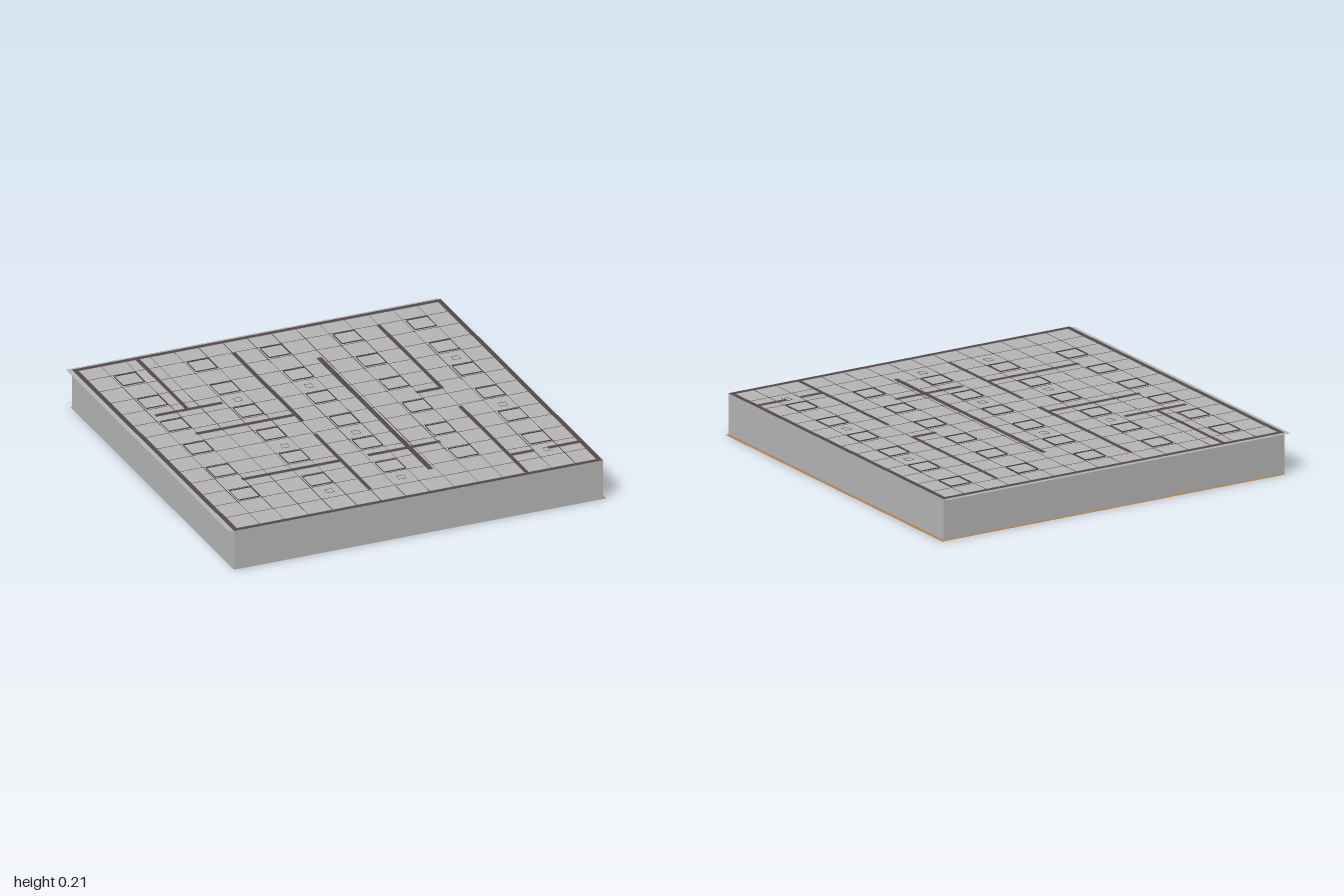
import * as THREE from 'three';

const mat = (name, color) => {
  const m = new THREE.MeshStandardMaterial({ color });
  m.name = name;
  return m;
};

export function createModel() {
  const group = new THREE.Group();
  const wallGrey = mat('wall grey', 0xb3b3b3);
  const partitionGrey = mat('partition grey', 0xa8afb4);
  const capDark = mat('wall cap dark', 0x534749);
  const floorBrown = mat('floor brown', 0xb37c43);

  // Box given by its limits on each axis
  const box = (name, material, x0, x1, y0, y1, z0, z1, parent = group) => {
    const mesh = new THREE.Mesh(new THREE.BoxGeometry(x1 - x0, y1 - y0, z1 - z0), material);
    mesh.position.set((x0 + x1) / 2, (y0 + y1) / 2, (z0 + z1) / 2);
    mesh.name = name;
    parent.add(mesh);
  };

  const CEIL = 0.208, TOP = 0.211;
  const L = -0.977, R = 0.983, B = -0.975, F = 0.987, T = 0.024;

  // Floor and ceiling sheets, each overhanging two sides
  box('floor', floorBrown, -0.975, 1, 0.0006, 0.0012, -0.99, 0.985);
  box('ceiling', wallGrey, -1, 0.975, CEIL - 0.0006, CEIL, -0.993, 0.98);

  // A wall is a tall body with a thin dark cap
  const wall = (name, body, x0, x1, z0, z1, bottom) => {
    box(name, body, x0, x1, bottom, TOP - 0.0006, z0, z1);
    box(name + 'Cap', capDark, x0, x1, TOP - 0.0006, TOP, z0, z1);
  };
  wall('leftOuterWall', wallGrey, R - T, R, B, F, 0.0009);
  wall('rightOuterWall', wallGrey, L, L + T, B, F, 0.0009);
  wall('backOuterWall', wallGrey, L + T, R - T, B, B + T, 0.0009);
  wall('frontOuterWall', wallGrey, L + T, R - T, F - T, F, 0.0009);

  // Interior partitions running front to back: x, z start, z end, thickness
  for (const [x, z0, z1, t] of [
    [-0.638, -0.951, -0.357, 0.02], [-0.181, -0.83, 0, 0.022], [-0.183, 0.155, 0.83, 0.02],
    [0.177, -0.615, 0.74, 0.025], [0.59, -0.835, -0.06, 0.02], [0.59, 0.155, 0.963, 0.02],
  ]) wall('partition', partitionGrey, x - t / 2, x + t / 2, z0, z1, 0);

  // Interior partitions running side to side: z, x start, x end
  for (const [z, x0, x1] of [
    [-0.345, -0.81, -0.455], [-0.08, -0.71, -0.192],
    [0.475, -0.71, -0.193], [0.475, -0.04, 0.1645], [0.475, 0.1895, 0.345],
    [-0.07, 0.455, 0.58], [0.75, 0.6, 0.722], [0.75, 0.795, 0.959],
  ]) wall('crossPartition', partitionGrey, x0, x1, z - 0.012, z + 0.012, 0);

  // Ceiling tile grid
  const grid = new THREE.Group();
  grid.name = 'ceilingGrid';
  group.add(grid);
  const GX = 0.1291, GZ = 0.139, w = 0.001;
  for (let i = 0; i < 14; i++) {
    const x = -0.829 + i * GX;
    box('gridLine', capDark, x - w, x + w, CEIL, CEIL + 0.0015, B + T, F - T, grid);
    const z = -0.838 + i * GZ;
    if (z < 0.95) box('gridCrossLine', capDark, L + T, R - T, CEIL, CEIL + 0.0013, z - w, z + w, grid);
  }

  // Thin square outline standing on the ceiling
  const outline = (name, cx, cz, half, top) => {
    const g = new THREE.Group();
    g.name = name;
    group.add(g);
    const e = 0.0004;
    for (const s of [-1, 1]) {
      box('frameSide', capDark, cx + s * half - e, cx + s * half + e, CEIL, top, cz - half, cz + half, g);
      box('frameEnd', capDark, cx - half, cx + half, CEIL, top, cz + s * half - e, cz + s * half + e, g);
    }
  };

  // Light frames, five by six
  for (let i = 0; i < 5; i++)
    for (let j = 0; j < 6; j++)
      outline('lightFrame', -0.763 + i * 0.388, -0.768 + j * 0.2785, 0.057, 0.214);

  // Columns with a thin outline at the ceiling
  for (const x of [-0.37, 0.01, 0.79])
    for (const z of [-0.35, 0.215, 0.76]) {
      box('column', partitionGrey, x - 0.019, x + 0.019, 0, CEIL - 0.001, z - 0.019, z + 0.019);
      outline('columnFrame', x, z, 0.019, 0.2095);
    }

  return group;
}
